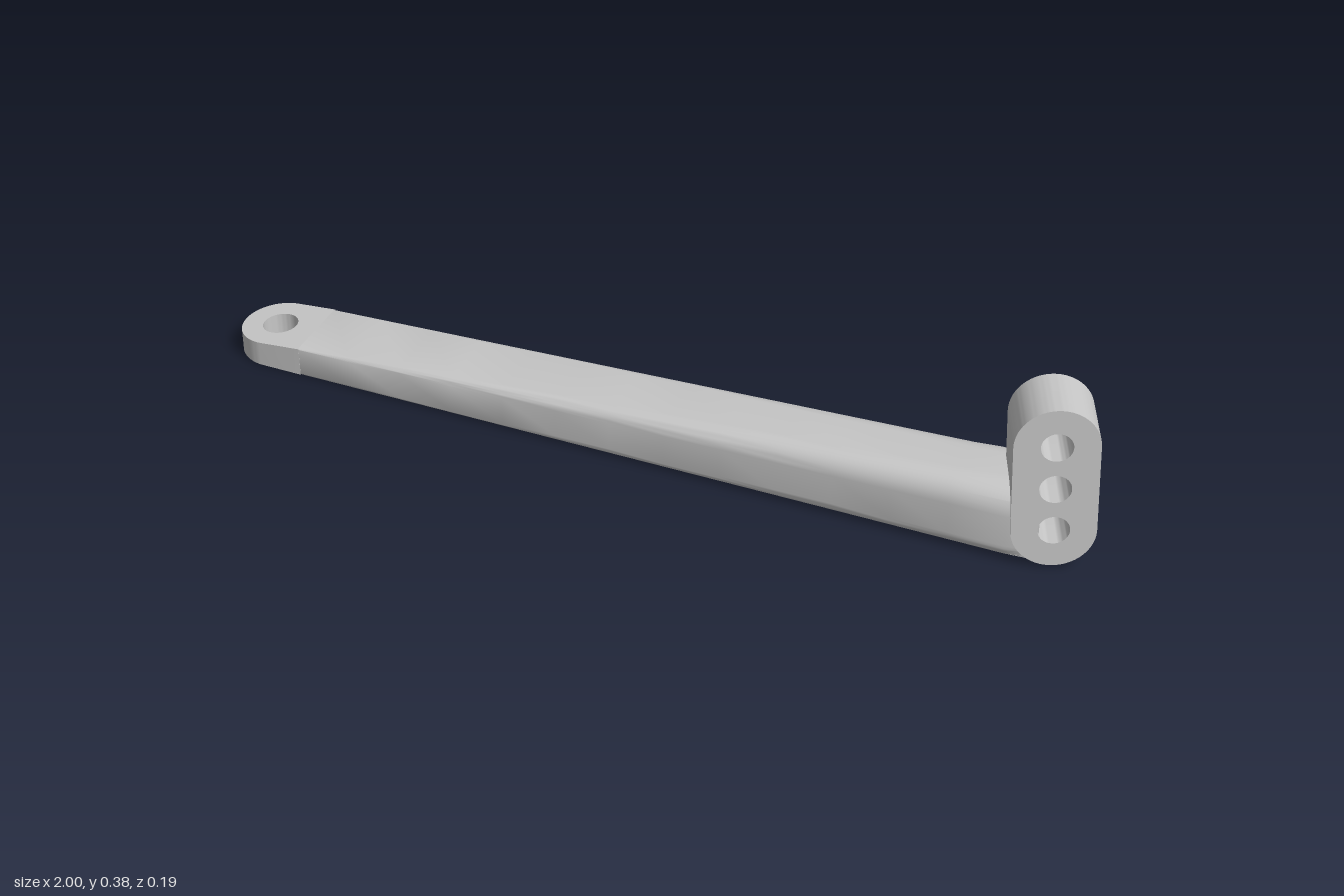
import * as THREE from 'three';
import { toCreasedNormals } from 'three/addons/utils/BufferGeometryUtils.js';

const BASE = 0.003, BACK = -0.096;
const HEAD = new THREE.Vector3(0.911, 0.196, 0.0635); // centre of the head's front face
const YAW = 0.375, PITCH = -0.045, TILT = 0.06, DEPTH = 0.135;
const S = Math.sin(YAW), C = Math.cos(YAW), T = Math.tan(YAW);
const lerp = THREE.MathUtils.lerp, clamp = THREE.MathUtils.clamp;

// Arm height, front edge and edge rounding along its length
const armTop = x => x < -0.82 ? 0.055 + (x + 1) * 0.094 : 0.072 + (x + 0.82) * 0.0646;
const along = x => clamp((x + 0.82) / 1.64, 0, 1);
const armFront = x => lerp(0.075, 0.091, along(x));
const topRound = x => lerp(0.003, 0.06, along(x));
const baseRound = x => lerp(0.003, 0.04, along(x));

// Skin through rings of [x, y, z] points, closed around each ring
function skin(rings) {
  const n = rings[0].length, index = [];
  for (let i = 0; i < rings.length - 1; i++) {
    for (let j = 0; j < n; j++) {
      const a = i * n + j, b = i * n + (j + 1) % n;
      index.push(a, b, a + n, b, b + n, a + n);
    }
  }
  const g = new THREE.BufferGeometry();
  g.setAttribute('position', new THREE.Float32BufferAttribute(rings.flat(2), 3));
  g.setIndex(index);
  return toCreasedNormals(g, 0.6);
}

// Rounded cross-section of the arm as [z, y] points
function section(x) {
  const rt = topRound(x), rb = baseRound(x), h = armTop(x), f = armFront(x), pts = [];
  const corners = [[f - rt, h - rt, rt], [BACK + rt, h - rt, rt], [BACK + rb, BASE + rb, rb], [f - rb, BASE + rb, rb]];
  corners.forEach(([z, y, r], k) => {
    for (let i = 0; i <= 8; i++) {
      const a = (k + i / 8) * Math.PI / 2;
      pts.push([z + r * Math.cos(a), y + r * Math.sin(a)]);
    }
  });
  return pts;
}

// Long tapering beam, whose last rings slant into the side of the head
function beam() {
  const rings = [];
  for (let i = 0; i <= 12; i++) {
    const x = lerp(-0.82, 0.7, i / 12);
    rings.push(section(x).map(([z, y]) => [x, y, z]));
  }
  for (const [u, floor] of [[-0.09, BASE], [-0.032, 0.013]]) {
    rings.push(section(0.82).map(([z, y]) => {
      const x = HEAD.x + C * u + (z - HEAD.z + S * u) * T;
      return [x, z > -0.05 ? Math.max(y, floor) : y, Math.min(z, HEAD.z - (x - HEAD.x) * T - 0.003)];
    }));
  }
  return skin(rings);
}

// Flat round tip with an upright hole
function tip() {
  const r = 0.086, cx = -0.914, cy = 0.0105;
  const s = new THREE.Shape();
  s.moveTo(-0.818, cy + r);
  s.lineTo(cx, cy + r);
  s.absarc(cx, cy, r, Math.PI / 2, Math.PI * 1.5, false);
  s.lineTo(-0.818, cy - r);
  s.closePath();
  s.holes.push(new THREE.Path().absarc(-0.912, cy, 0.04, 0, Math.PI * 2, true));
  const g = new THREE.ExtrudeGeometry(s, { depth: 0.06, bevelEnabled: false, curveSegments: 24 });
  g.rotateX(-Math.PI / 2);
  const p = g.attributes.position;
  for (let i = 0; i < p.count; i++) p.setY(i, p.getY(i) > 0.03 ? armTop(p.getX(i)) : BASE);
  return toCreasedNormals(g, 0.6);
}

// Upright pill with three bores
function headBlock() {
  const w = 0.0875, k = 0.189 - w;
  const s = new THREE.Shape();
  s.absarc(0, k, w, 0, Math.PI, false);
  s.absarc(0, -k, w, Math.PI, Math.PI * 2, false);
  s.closePath();
  for (const y of [-0.101, 0, 0.101]) s.holes.push(new THREE.Path().absarc(0, y, 0.033, 0, Math.PI * 2, true));
  const g = new THREE.ExtrudeGeometry(s, { depth: DEPTH, bevelEnabled: false, curveSegments: 24 });
  g.translate(0, 0, -DEPTH);
  return toCreasedNormals(g, 0.6);
}

// Wedge of the arm behind the head, pierced by the lowest bore and notched by the middle one
function wedge() {
  const bx = HEAD.x - S * DEPTH, bz = HEAD.z - C * DEPTH;
  const headBack = x => bz - (x - bx) * T;
  const cx = 0.854, cy = 0.088, r = 0.033, n = 64;
  const surfaceZ = (x, y) => {
    const rt = topRound(x), rb = baseRound(x);
    const d = Math.max((y - armTop(x) + rt) / rt, 0), e = Math.max((BASE + rb - y) / rb, 0);
    const round = (q, v) => q * (1 - Math.sqrt(Math.max(0, 1 - v * v)));
    return Math.min(BACK + round(rt, d) + round(rb, e), headBack(x) - 0.001);
  };
  const outline = a => {
    let x = cx + clamp(0.15 * Math.cos(a), -0.06, 0.088);
    let y = cy + clamp(0.15 * Math.sin(a), BASE - cy, 0.2);
    if (y > cy) {
      y = Math.min(y, armTop(x));
      const dx = (x - cx) / 0.035;
      if (Math.abs(dx) < 1) y = Math.min(y, 0.189 - r * Math.sqrt(1 - dx * dx));
    } else if (x > 0.868) { // lower corner follows the pill
      const b = Math.atan2(y - cy, x - 0.868);
      x = 0.868 + 0.079 * Math.cos(b);
      y = cy + (cy - BASE) * Math.sin(b);
    }
    return [x, y];
  };
  const intoHead = ([x, y, z], extra) => {
    const t = (headBack(x) - z) / (C + S * T) + extra;
    return [x + S * t, y + 0.045 * t, z + C * t];
  };
  const rings = [];
  for (let i = 0; i <= 12; i++) {
    const ring = [];
    for (let j = 0; j < n; j++) {
      const a = j / n * Math.PI * 2, o = outline(a);
      const x = lerp(cx + 0.035 * Math.cos(a), o[0], i / 12);
      const y = lerp(cy + r * Math.sin(a), o[1], i / 12);
      ring.push([x, y, surfaceZ(x, y)]);
    }
    rings.push(ring);
  }
  rings.unshift(rings[0].map(p => intoHead(p, 0)));
  rings.push(rings[rings.length - 1].map(p => intoHead(p, 0.004)));
  return skin(rings);
}

export function createModel() {
  const model = new THREE.Group();
  model.name = 'leverArm';
  const grey = new THREE.MeshStandardMaterial({ color: 0xc8c8c8, side: THREE.DoubleSide });
  grey.name = 'lightGrey';
  const add = (name, geometry) => {
    const mesh = new THREE.Mesh(geometry, grey);
    mesh.name = name;
    model.add(mesh);
    return mesh;
  };
  add('armBeam', beam());
  add('armTip', tip());
  add('armEndBehindHead', wedge());
  const head = add('head', headBlock());
  head.position.copy(HEAD);
  head.rotation.set(PITCH, YAW, TILT);
  return model;
}
